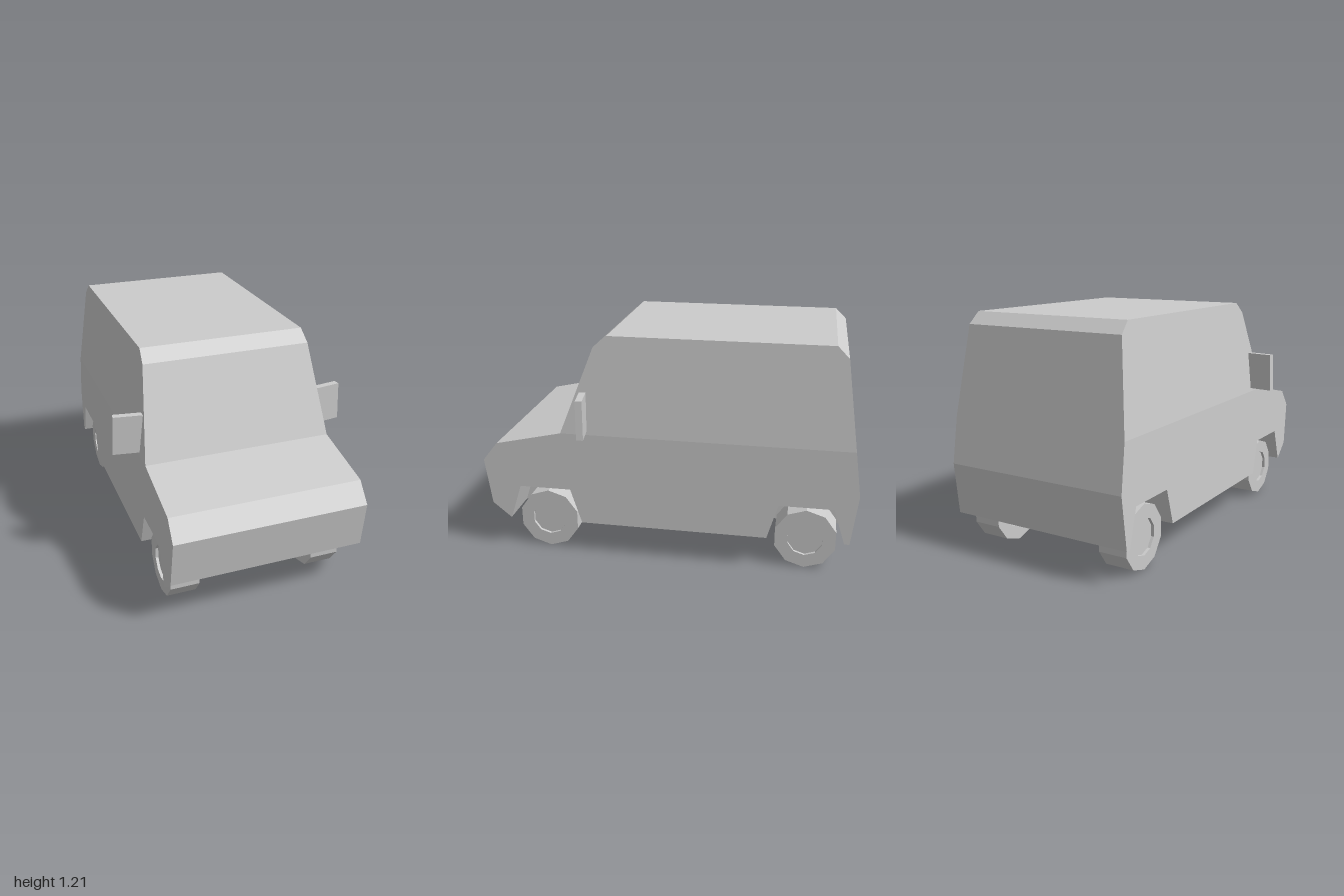
import * as THREE from 'three';

const material = new THREE.MeshStandardMaterial({ color: 0xcccccc, flatShading: true });

const BELT = 0.69; // height where the sides start to lean in
const INNER = 0.28; // half distance between the wheel-arch inner walls

const halfWidth = (y) =>
  y < BELT ? 0.51 - (0.01 * (y - 0.18)) / 0.51 : 0.5 - (0.06 * (y - BELT)) / 0.52;

// Side outlines as [z, y], running front, over the top, down the back, then forward underneath
const upper = [[0.56, BELT], [0.38, 1.15], [0.31, 1.21], [-0.84, 1.21], [-0.9, 1.15], [-0.966, BELT]];
const rear = [[-0.966, BELT], [-1, 0.45], [-0.967, 0.18]];
const rearArch = [[-0.94, 0.18], [-0.88, 0.37], [-0.595, 0.37], [-0.54, 0.18]];
const frontArch = [[0.46, 0.18], [0.52, 0.37], [0.8, 0.37], [0.862, 0.18]];
const nose = [[0.868, 0.18], [0.965, 0.26], [1, 0.51], [0.92, 0.61], [0.56, BELT]];

function createBody() {
  const positions = [];
  const tri = (a, b, c) => positions.push(...a, ...b, ...c);

  // Strip along one outline edge, from x = left(y) to x = right(y)
  const strip = (p, q, left, right) => {
    const at = (fn, v) => [fn(v[1]), v[1], v[0]];
    tri(at(left, p), at(left, q), at(right, q));
    tri(at(left, p), at(right, q), at(right, p));
  };

  // Flat panel facing +x or -x
  const panel = (outline, side, width) => {
    const contour = outline.map(([z, y]) => new THREE.Vector2(z, y));
    const at = (i) => [side * width(outline[i][1]), outline[i][1], outline[i][0]];
    for (const [a, b, c] of THREE.ShapeUtils.triangulateShape(contour, [])) {
      if (side > 0) tri(at(a), at(c), at(b));
      else tri(at(a), at(b), at(c));
    }
  };

  const inner = () => INNER;
  const negInner = () => -INNER;
  const negHalf = (y) => -halfWidth(y);
  const edges = (path, fn) => path.slice(1).forEach((q, i) => fn(path[i], q));

  // Bonnet, windscreen, roof, tail and nose across the full width
  for (const path of [upper, rear, nose]) edges(path, (p, q) => strip(p, q, halfWidth, negHalf));

  // Underside edges and arch linings, outside the inner walls
  const under = [rear[2], ...rearArch, ...frontArch, nose[0]];
  edges(under, (p, q) => {
    strip(p, q, halfWidth, inner);
    strip(p, q, negInner, negHalf);
  });
  strip(rear[2], nose[0], inner, negInner); // central floor

  // Body sides and wheel-arch inner walls
  const lower = [...rear, ...rearArch, ...frontArch, ...nose];
  for (const side of [1, -1]) {
    panel(upper, side, halfWidth);
    panel(lower, side, halfWidth);
    for (const arch of [rearArch, frontArch]) panel([...arch].reverse(), side, inner);
  }

  const geometry = new THREE.BufferGeometry();
  geometry.setAttribute('position', new THREE.Float32BufferAttribute(positions, 3));
  geometry.computeVertexNormals();
  const mesh = new THREE.Mesh(geometry, material);
  mesh.name = 'body';
  return mesh;
}

// Ten-sided wheel with a shallow hub recess on both faces
function createWheelGeometry() {
  const r = 0.167, hub = 0.095, h = 0.077, floor = 0.062;
  const profile = [
    [0, -floor], [hub, -floor], [hub, -h], [r, -h],
    [r, h], [hub, h], [hub, floor], [0, floor],
  ].map(([x, y]) => new THREE.Vector2(x, y));
  return new THREE.LatheGeometry(profile, 10, Math.PI / 2).rotateZ(Math.PI / 2);
}

// Door mirror, outer edge leaning in and swept back
function createMirror(side) {
  const geometry = new THREE.BoxGeometry(0.17, 0.205, 0.035);
  const pos = geometry.attributes.position;
  for (let i = 0; i < pos.count; i++) pos.setX(i, pos.getX(i) - side * 0.05 * pos.getY(i));
  geometry.computeVertexNormals();
  const mesh = new THREE.Mesh(geometry, material);
  mesh.position.set(side * 0.54, 0.812, 0.427);
  mesh.rotation.y = side * 0.15;
  mesh.name = side > 0 ? 'leftMirror' : 'rightMirror';
  return mesh;
}

export function createModel() {
  const model = new THREE.Group();
  model.name = 'van';
  model.add(createBody());

  const wheelGeometry = createWheelGeometry();
  for (const side of [1, -1]) {
    const label = side > 0 ? 'Left' : 'Right';
    for (const [name, z] of [['front', 0.66], ['rear', -0.74]]) {
      const wheel = new THREE.Mesh(wheelGeometry, material);
      wheel.position.set(side * 0.388, 0.167, z);
      wheel.name = `${name}${label}Wheel`;
      model.add(wheel);
    }
    model.add(createMirror(side));
  }
  return model;
}
